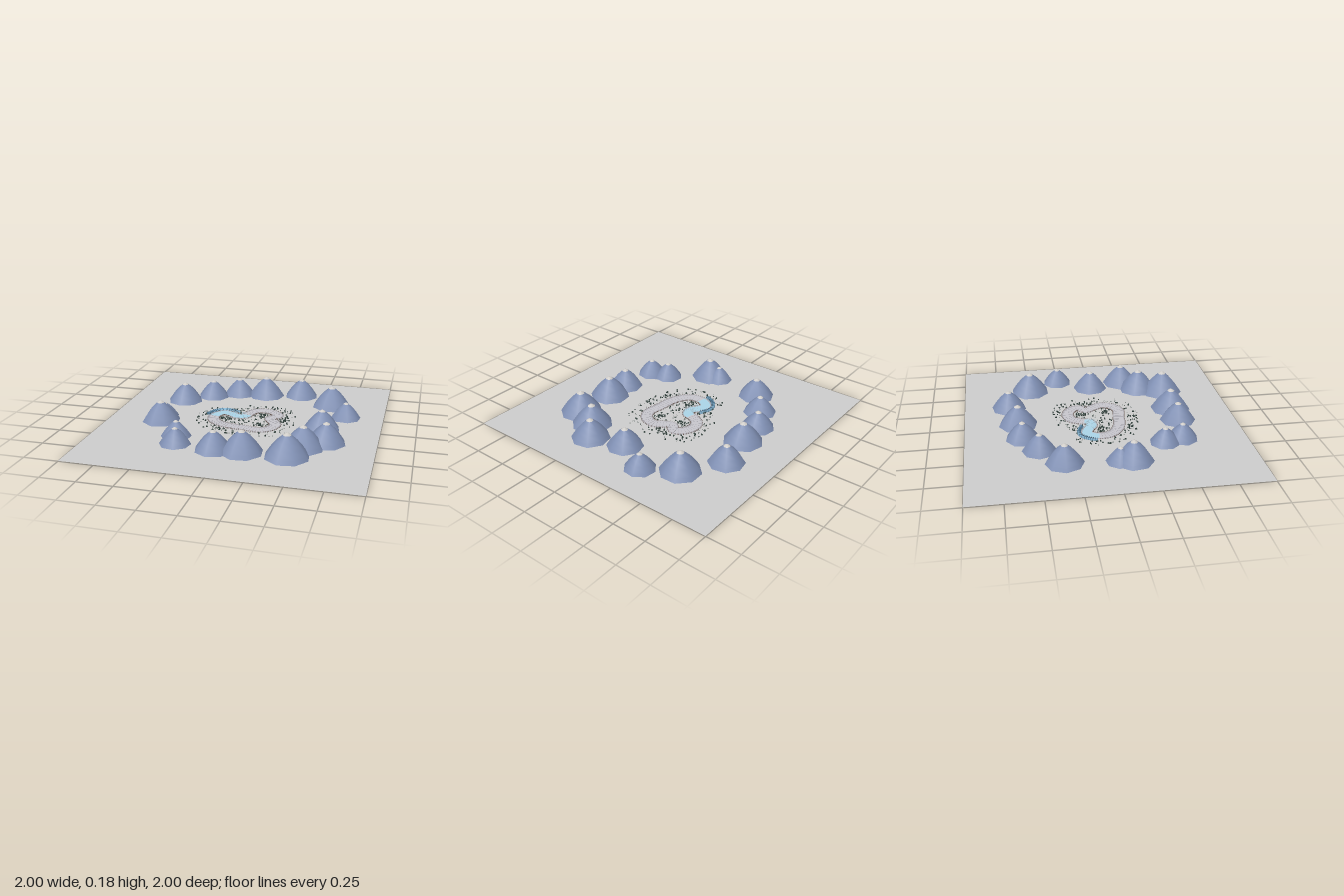
import * as THREE from 'three';
import { mergeGeometries } from 'three/addons/utils/BufferGeometryUtils.js';

const GROUND_Y = 0.003;
const mat = (color) => new THREE.MeshStandardMaterial({ color, side: THREE.DoubleSide });

let seed = 7;
const rand = () => (seed = (seed * 16807) % 2147483647) / 2147483647;

function add(group, name, geometry, material) {
  const mesh = new THREE.Mesh(geometry, material);
  mesh.name = name;
  group.add(mesh);
  return mesh;
}

// Centre line of the circuit, running clockwise seen from above
const path = new THREE.CatmullRomCurve3([
  [-0.24, 0], [-0.235, -0.07], [-0.19, -0.125], [-0.13, -0.11], [-0.07, -0.075], [-0.02, -0.09],
  [0.0, -0.15], [0.04, -0.215], [0.11, -0.235], [0.19, -0.205], [0.22, -0.15], [0.18, -0.09],
  [0.205, -0.04], [0.24, 0.03], [0.215, 0.11], [0.14, 0.155], [0.03, 0.14], [-0.07, 0.13],
  [-0.16, 0.1], [-0.215, 0.055],
].map(([x, z]) => new THREE.Vector3(x, 0, z)), true);
path.arcLengthDivisions = 600;

// Position and outward side direction at a fraction of the circuit
function frame(t) {
  const u = ((t % 1) + 1) % 1;
  const p = path.getPointAt(u), d = path.getTangentAt(u);
  return { p, side: new THREE.Vector3(d.z, 0, -d.x), angle: Math.atan2(d.x, d.z) };
}

// Sweep an [offset, height] profile along part of the circuit
function sweep(profile, t0, t1, steps) {
  const pos = [], index = [], n = profile.length;
  for (let i = 0; i <= steps; i++) {
    const { p, side } = frame(t0 + (t1 - t0) * i / steps);
    for (const [o, y] of profile) pos.push(p.x + side.x * o, GROUND_Y + y, p.z + side.z * o);
    if (i === steps) break;
    for (let j = 0; j < n - 1; j++) {
      const a = i * n + j, b = a + n;
      index.push(a, b, a + 1, b, b + 1, a + 1);
    }
  }
  const g = new THREE.BufferGeometry();
  g.setAttribute('position', new THREE.Float32BufferAttribute(pos, 3));
  g.setIndex(index);
  g.computeVertexNormals();
  return g;
}

// Small boxes repeated along the circuit at a sideways offset
function boxesAlong(count, offset, w, h, d, y, t0 = 0, t1 = 1) {
  const parts = [];
  for (let i = 0; i < count; i++) {
    const { p, side, angle } = frame(t0 + (t1 - t0) * i / count);
    parts.push(new THREE.BoxGeometry(w, h, d).rotateY(angle)
      .translate(p.x + side.x * offset, GROUND_Y + y, p.z + side.z * offset));
  }
  return mergeGeometries(parts);
}

function makeMountain(x, z, r, materials) {
  const g = new THREE.Group();
  g.name = 'mountain';
  const h = r * 1.1;
  const lathe = (pts) => new THREE.LatheGeometry(pts.map(([a, b]) => new THREE.Vector2(a * r, b * h)), 8);
  add(g, 'mountainBase', lathe([[0, 0], [1, 0]]), materials.rock);
  add(g, 'mountainFoot', lathe([[1, 0], [0.87, 0.18]]), materials.rock);
  add(g, 'mountainSlope', lathe([[0.87, 0.18], [0.68, 0.43], [0.45, 0.68], [0.18, 0.9]]), materials.rock);
  add(g, 'snowCap', lathe([[0.18, 0.9], [0.09, 0.965], [0, 1]]), materials.snow);
  g.position.set(x, 0, z);
  g.rotation.y = rand() * Math.PI / 4;
  return g;
}

function makeTrack() {
  const g = new THREE.Group();
  g.name = 'track';
  add(g, 'roadSurface', sweep([[-0.036, 0.002], [0.036, 0.002]], 0, 1, 220), mat(0xc6c5cb));

  // Kerbs, edge posts and cross joints
  const kerb = mat(0xb5b3ba), post = mat(0x75665f), joint = mat(0xa9a8b0);
  for (const s of [-1, 1]) {
    const a = s * 0.036, b = s * 0.043;
    add(g, 'kerb', sweep([[a, 0], [a, 0.006], [b, 0.006], [b, 0]], 0, 1, 220), kerb);
    add(g, 'edgePosts', boxesAlong(110, s * 0.044, 0.003, 0.009, 0.004, 0.0045), post);
  }
  add(g, 'roadJoints', boxesAlong(64, 0, 0.07, 0.001, 0.0015, 0.0025), joint);

  // Icy stretch with a terraced stand outside the bend
  add(g, 'iceSurface', sweep([[-0.035, 0.004], [0.035, 0.004]], 0.03, 0.24, 50), mat(0xa9d3e6));
  const stand = [[0.045, 0], [0.045, 0.006], [0.054, 0.006], [0.054, 0.011], [0.063, 0.011],
    [0.063, 0.016], [0.07, 0.016], [0.07, 0]];
  add(g, 'terracedStand', sweep(stand, 0.035, 0.15, 36), mat(0x86b4d0));
  add(g, 'standDividers', boxesAlong(16, 0.058, 0.026, 0.018, 0.003, 0.009, 0.035, 0.15), mat(0x4f7793));

  // Hoops arching over the icy stretch
  const hoops = [];
  for (let i = 0; i < 7; i++) {
    const { p, angle } = frame(0.14 + i * 0.013);
    hoops.push(new THREE.TorusGeometry(0.04, 0.0018, 5, 14, Math.PI)
      .scale(1, 0.85, 1).rotateY(angle).translate(p.x, GROUND_Y, p.z));
  }
  add(g, 'trackHoops', mergeGeometries(hoops), mat(0xb9d6e4));
  return g;
}

// Low bushes scattered on both sides of the circuit
function makeBushes() {
  const line = path.getSpacedPoints(150);
  const dark = [], pale = [];
  for (let tries = 0; dark.length + pale.length < 330 && tries < 6000; tries++) {
    const { p, side } = frame(rand());
    const o = (rand() < 0.62 ? 1 : -1) * (0.055 + rand() * 0.085);
    const v = new THREE.Vector3(p.x + side.x * o, 0, p.z + side.z * o);
    if (line.some((q) => q.distanceTo(v) < 0.053)) continue;
    const small = rand() < 0.3;
    const r = small ? 0.004 : 0.004 + rand() * 0.004;
    const bush = new THREE.IcosahedronGeometry(r, 0).rotateY(rand() * 6)
      .translate(v.x, GROUND_Y + r * 0.6, v.z);
    (small ? pale : dark).push(bush);
  }
  const g = new THREE.Group();
  g.name = 'scatter';
  const flat = (color) => new THREE.MeshStandardMaterial({ color, flatShading: true });
  add(g, 'bushes', mergeGeometries(dark), flat(0x2c3d38));
  add(g, 'stones', mergeGeometries(pale), flat(0x7d8580));
  return g;
}

export function createModel() {
  const model = new THREE.Group();
  model.name = 'mountainCircuit';

  const ground = add(model, 'ground', new THREE.PlaneGeometry(2, 2).rotateX(-Math.PI / 2), mat(0xcccccc));
  ground.position.y = GROUND_Y;

  // Ring of mountains: x, z, radius
  const materials = { rock: mat(0x7f8fb3), snow: mat(0xcfccc8) };
  const ring = [
    [-0.57, -0.33, 0.138], [-0.38, -0.485, 0.125], [-0.19, -0.59, 0.125], [0.03, -0.61, 0.146],
    [0.31, -0.665, 0.133], [0.58, -0.485, 0.15], [0.72, -0.255, 0.115], [0.58, 0, 0.135],
    [0.65, 0.26, 0.143], [0.51, 0.38, 0.152], [0.435, 0.56, 0.16], [0.125, 0.56, 0.152],
    [-0.07, 0.57, 0.135], [-0.355, 0.535, 0.115], [-0.395, 0.4, 0.112], [-0.605, 0.135, 0.145],
    [-0.605, 0.045, 0.105],
  ];
  for (const [x, z, r] of ring) model.add(makeMountain(x, z, r, materials));

  model.add(makeTrack(), makeBushes());
  return model;
}
